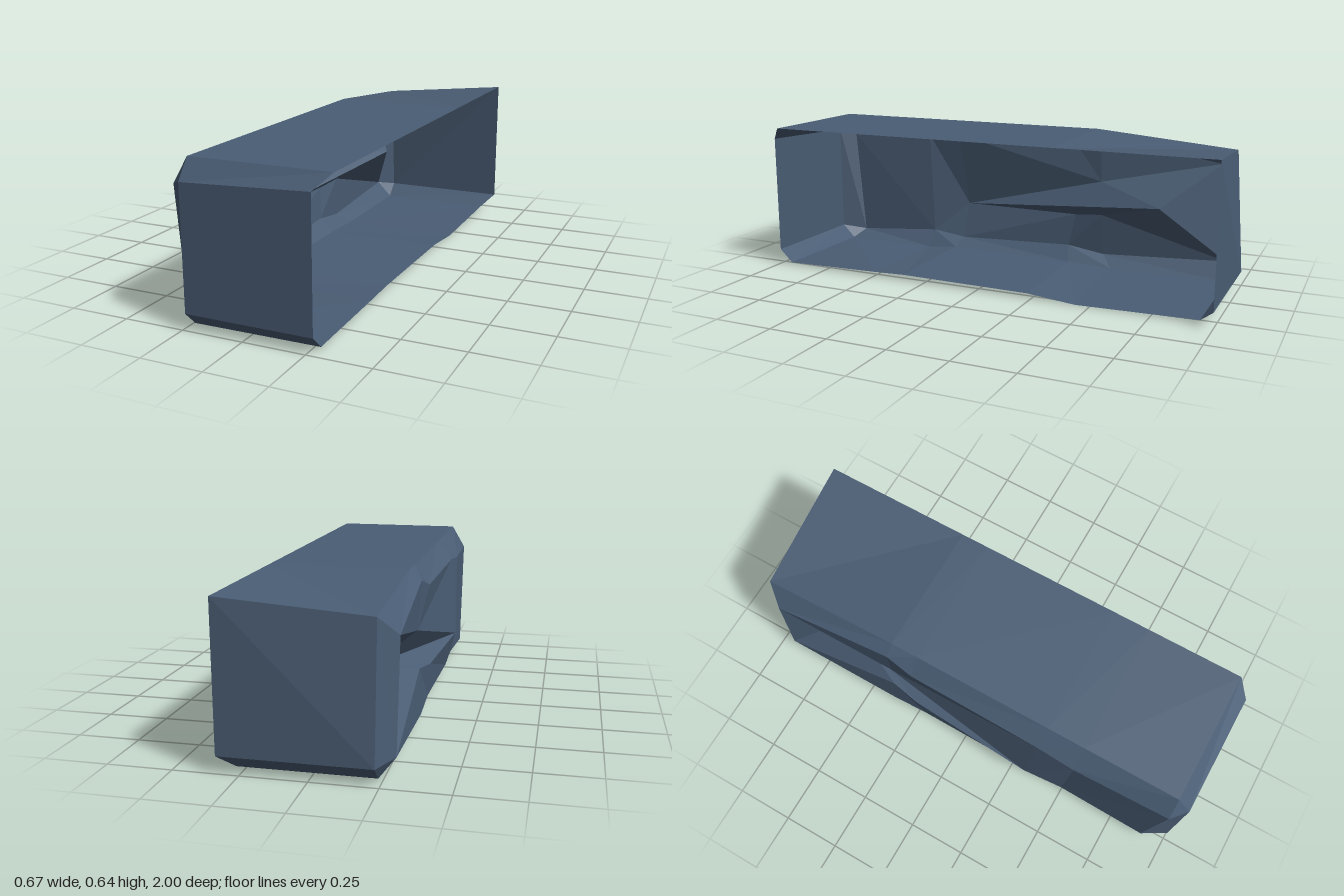
import * as THREE from 'three';

export function createModel() {
  const group = new THREE.Group();
  group.name = 'openStoneShell';
  const slate = new THREE.MeshStandardMaterial({ color: 0x4a5d74, side: THREE.DoubleSide, flatShading: true });
  slate.name = 'slateBlue';

  // Flat-faced mesh from a list of polygons, each split as a fan
  function panel(name, polygons) {
    const pos = [];
    for (const p of polygons) {
      for (let i = 1; i < p.length - 1; i++) pos.push(...p[0], ...p[i], ...p[i + 1]);
    }
    const geo = new THREE.BufferGeometry();
    geo.setAttribute('position', new THREE.Float32BufferAttribute(pos, 3));
    geo.computeVertexNormals();
    const mesh = new THREE.Mesh(geo, slate);
    mesh.name = name;
    group.add(mesh);
  }

  // Quads joining two rows of points that run from front to back
  const strip = (a, b) => a.slice(1).map((p, i) => [a[i], p, b[i + 1], b[i]]);
  const row = (x, zy) => zy.map(([z, y]) => [x, y, z]);

  // Lengthwise rows, each front to back
  const topR = row(0.335, [[0.94, 0.637], [0.53, 0.637], [0.37, 0.637], [-0.23, 0.637], [-0.35, 0.637], [-1, 0.637]]);
  const topL = row(-0.235, [[0.94, 0.637], [0.53, 0.637], [0.37, 0.637], [-0.23, 0.637], [-0.35, 0.637], [-0.96, 0.585]]);
  const t = [[-0.295, 0.533, 0.945], [-0.31, 0.545, 0.53], [-0.305, 0.56, 0.37],
    [-0.295, 0.555, -0.23], [-0.283, 0.595, -0.35], [-0.3, 0.51, -0.89]];
  const b = [[-0.29, 0.045, 0.9], [-0.29, 0.08, 0.5], [-0.29, 0.06, 0.34],
    [-0.29, 0.08, -0.2], [-0.29, 0.055, -0.37], [-0.295, 0.085, -0.92]];
  const baseL = row(-0.235, [[0.94, 0.007], [0.5, 0.006], [0.36, 0.022], [-0.22, 0.015], [-0.42, 0.008], [-0.94, 0.01]]);
  const baseR = row(0.28, [[0.94, 0.01], [0.5, 0.02], [0.35, 0.025], [-0.23, 0.02], [-0.44, 0], [-0.94, 0.01]]);

  panel('topSheet', strip(topR, topL));
  panel('topBevel', strip(topL, t));
  panel('bottomBevel', strip(b, baseL));
  panel('bottomSheet', strip(baseL, baseR));

  // Long wall with a ledge cut into it
  const tip = [-0.335, 0.22, 0.33];
  const lip = [-0.303, 0.225, -0.23];
  const lipBack = [-0.28, 0.24, -0.36];
  const brow = [-0.27, 0.395, -0.36];
  const pit = [-0.14, 0.325, -0.66];
  panel('longWall', [
    [t[0], t[1], b[1], b[0]],
    [t[1], tip, b[1]], [b[1], tip, b[2]], [t[1], t[2], tip],
    [b[2], tip, lip], [b[2], lip, b[3]],
    [b[3], lip, lipBack], [b[3], lipBack, b[4]],
    [b[4], lipBack, b[5]], [lipBack, pit, b[5]], [pit, t[5], b[5]],
    [brow, t[5], pit], [brow, t[4], t[5]], [t[3], t[4], brow],
    [t[2], t[3], brow], [t[2], brow, tip],
  ]);
  panel('ledge', [[tip, brow, pit], [tip, pit, lip], [lip, pit, lipBack]]);

  // Front end with its bevels and corner facets
  const fTR = [0.28, 0.58, 1], fTL = [-0.235, 0.557, 1];
  const fBL = [-0.235, 0.066, 1], fBR = [0.28, 0.066, 1];
  panel('frontEnd', [[fTR, fTL, fBL, fBR]]);
  panel('frontBevels', [
    [topR[0], topL[0], fTL, fTR],
    [fTL, t[0], b[0], fBL],
    [fBL, baseL[0], baseR[0], fBR],
    [topL[0], t[0], fTL],
    [fBL, b[0], baseL[0]],
  ]);

  // Back end, bevelled at the base and one side only
  const kBR = [0.335, 0.066, -1], kBL = [-0.235, 0.066, -1];
  panel('backEnd', [[topR[5], kBR, kBL, topL[5]]]);
  panel('backBevels', [
    [kBR, baseR[5], baseL[5], kBL],
    [topL[5], kBL, b[5], t[5]],
    [kBL, baseL[5], b[5]],
  ]);

  return group;
}
